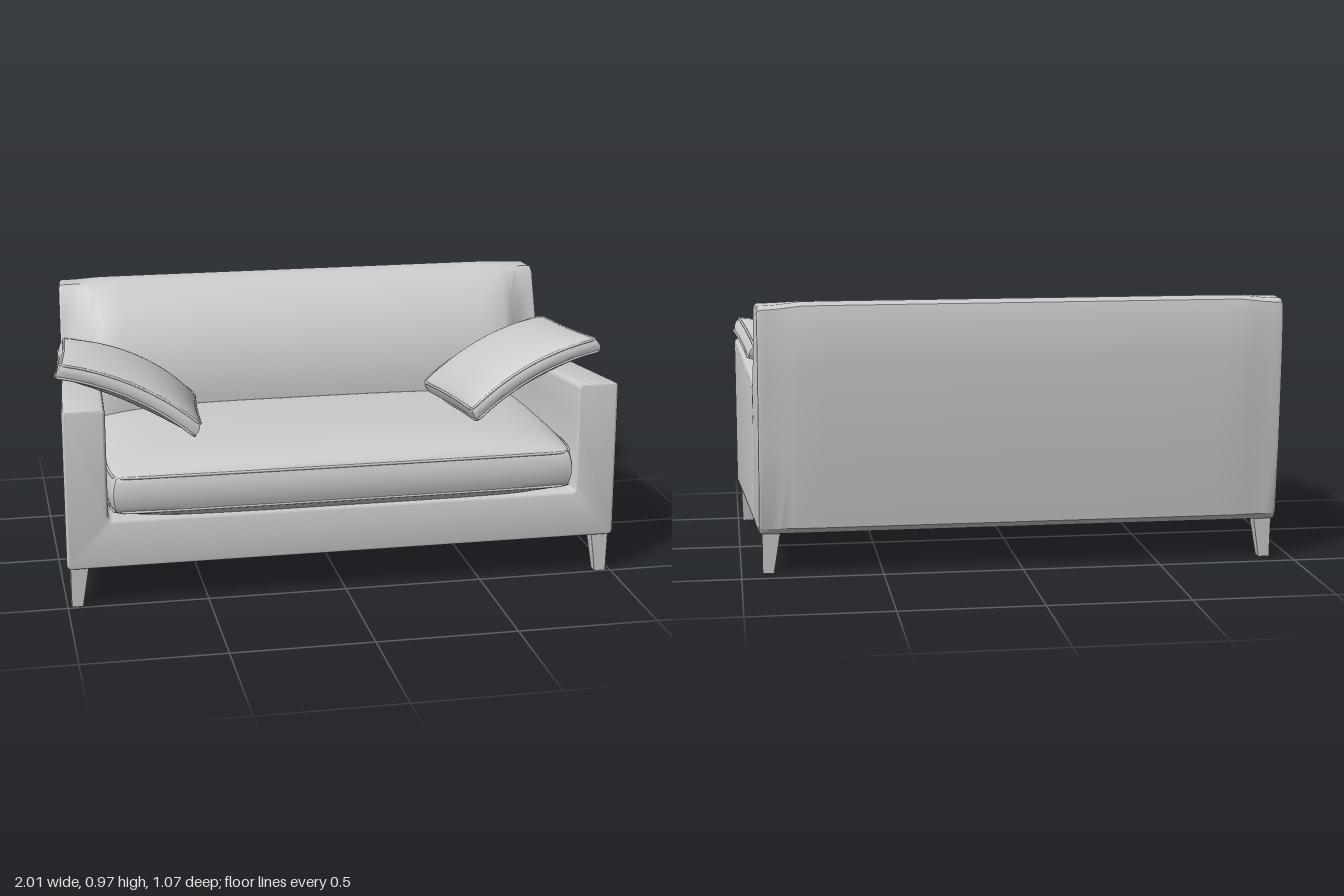
import * as THREE from 'three';
import { toCreasedNormals } from 'three/addons/utils/BufferGeometryUtils.js';

const material = new THREE.MeshStandardMaterial({ color: 0xcccccc });

function part(name, geometry, parent) {
  const mesh = new THREE.Mesh(geometry, material);
  mesh.name = name;
  parent.add(mesh);
  return mesh;
}

// Moves every vertex by a rule, then recomputes the normals.
function warp(geometry, rule, crease = 0.6) {
  const p = geometry.attributes.position;
  const v = new THREE.Vector3();
  for (let i = 0; i < p.count; i++) {
    v.fromBufferAttribute(p, i);
    rule(v);
    p.setXYZ(i, v.x, v.y, v.z);
  }
  return toCreasedNormals(geometry, crease);
}

// The sofa narrows toward the rear.
const taper = (z) => 1 - (0.51 - z) * 0.067;

// U-shaped frame: front rail, base and both arms.
function frameGeometry() {
  const r = 0.018;
  const s = new THREE.Shape();
  s.moveTo(-1 + r, 0.145);
  s.lineTo(1 - r, 0.145);
  s.quadraticCurveTo(1, 0.145, 1, 0.145 + r);
  s.lineTo(1, 0.59);
  s.lineTo(1, 0.725 - r);
  s.quadraticCurveTo(1, 0.725, 1 - r, 0.725);
  s.lineTo(0.85 + r, 0.725);
  s.quadraticCurveTo(0.85, 0.725, 0.85, 0.725 - r);
  s.lineTo(0.85, 0.59);
  s.lineTo(0.85, 0.32 + r);
  s.quadraticCurveTo(0.85, 0.32, 0.85 - r, 0.32);
  s.lineTo(-0.85 + r, 0.32);
  s.quadraticCurveTo(-0.85, 0.32, -0.85, 0.32 + r);
  s.lineTo(-0.85, 0.59);
  s.lineTo(-0.85, 0.725 - r);
  s.quadraticCurveTo(-0.85, 0.725, -0.85 - r, 0.725);
  s.lineTo(-1 + r, 0.725);
  s.quadraticCurveTo(-1, 0.725, -1, 0.725 - r);
  s.lineTo(-1, 0.59);
  s.lineTo(-1, 0.145 + r);
  s.quadraticCurveTo(-1, 0.145, -1 + r, 0.145);
  const b = 0.01;
  const g = new THREE.ExtrudeGeometry(s, {
    depth: 0.85 - 2 * b, bevelSize: b, bevelThickness: b, bevelOffset: -b, bevelSegments: 3, curveSegments: 4,
  });
  g.translate(0, 0, -0.34 + b);
  return warp(g, (v) => {
    if (v.z < -0.2 && v.y > 0.58) v.z += 0.06; // arms stop short of the backrest
    const k = THREE.MathUtils.clamp((v.y - 0.59) / 0.1, 0, 1);
    v.y -= k * 0.06 * (0.51 - v.z) / 0.79; // arm tops slope down to the rear
    v.x *= taper(v.z);
  });
}

// Backrest: side profiles [z, y] at the ends and in the padded middle, joined along x.
function backGeometry() {
  const end = [[-0.285, 0.145], [-0.285, 0.3], [-0.285, 0.59], [-0.307, 0.66], [-0.335, 0.75], [-0.365, 0.85],
    [-0.397, 0.95], [-0.41, 0.963], [-0.5, 0.963], [-0.52, 0.95], [-0.525, 0.9], [-0.522, 0.75],
    [-0.5, 0.45], [-0.465, 0.17], [-0.445, 0.147]];
  const mid = [[-0.285, 0.145], [-0.2, 0.3], [-0.2, 0.58], [-0.21, 0.66], [-0.24, 0.76], [-0.295, 0.86],
    [-0.365, 0.94], [-0.41, 0.968], [-0.48, 0.974], [-0.522, 0.963], [-0.535, 0.9], [-0.533, 0.75],
    [-0.512, 0.45], [-0.475, 0.17], [-0.445, 0.147]];
  // [x, padding amount, profile scale]
  const half = [[0.4, 1, 1], [0.75, 1, 1], [0.84, 0.92, 1], [0.88, 0.6, 1], [0.92, 0.25, 1],
    [0.96, 0.05, 1], [0.988, 0, 1], [0.996, 0, 0.992], [1, 0, 0.975]];
  const stations = [...half.map(([x, m, k]) => [-x, m, k]).reverse(), [0, 1, 1], ...half];
  const n = end.length;
  const pos = [];
  const idx = [];
  stations.forEach(([x, m, k], i) => {
    for (let j = 0; j < n; j++) {
      const z = -0.41 + (THREE.MathUtils.lerp(end[j][0], mid[j][0], m) + 0.41) * k;
      const y = 0.55 + (THREE.MathUtils.lerp(end[j][1], mid[j][1], m) - 0.55) * k;
      pos.push(x * taper(z), y, z);
      if (i < stations.length - 1) {
        const a = i * n + j, d = i * n + (j + 1) % n;
        idx.push(a, a + n, d + n, a, d + n, d);
      }
    }
  });
  // End caps
  const contour = end.map(([z, y]) => new THREE.Vector2(z, y));
  const last = (stations.length - 1) * n;
  for (const [a, b, c] of THREE.ShapeUtils.triangulateShape(contour, [])) {
    const ccw = THREE.ShapeUtils.area([contour[a], contour[b], contour[c]]) > 0;
    const [p, q] = ccw ? [b, c] : [c, b];
    idx.push(a, p, q, last + a, last + q, last + p);
  }
  const g = new THREE.BufferGeometry();
  g.setAttribute('position', new THREE.Float32BufferAttribute(pos, 3));
  g.setIndex(idx);
  return toCreasedNormals(g, 0.6);
}

// Padded cushion with an edge band, crowned faces and piping along both seams.
function cushion(name, parent, { w, d, band, crown, p, q, bulge, pinch, bend }) {
  const place = (v) => { // v runs from -1 to 1 on each axis
    const { x: u, y: t, z: s } = v;
    const f = Math.max(0, (1 - Math.abs(u) ** p) * (1 - Math.abs(s) ** p)) ** q;
    const face = Math.abs(t) > 0.999 ? Math.sign(t) * crown * f : 0;
    const out = bulge * (1 - t * t);
    const corner = 1 - 0.02 * (u * s) ** 8;
    v.x = u * corner * (w * (1 - pinch * (1 - s * s)) + out);
    v.z = s * corner * (d * (1 - pinch * (1 - u * u)) + out);
    v.y = t * band + face + bend * (1 - u * u);
    return v;
  };
  const group = new THREE.Group();
  group.name = name;
  parent.add(group);
  const ease = (a) => Math.sin(a * Math.PI / 2);
  part(name + 'Padding', warp(new THREE.BoxGeometry(2, 2, 2, 28, 6, 28), (v) => {
    v.x = ease(v.x);
    v.z = ease(v.z);
    place(v);
  }, 0.8), group);
  for (const side of [-1, 1]) {
    const pts = [];
    for (let i = 0; i < 4; i++) {
      for (let k = 0; k < 10; k++) {
        const a = -0.97 + k * 0.2156;
        const [x, z] = [[a, 1], [1, -a], [-a, -1], [-1, a]][i];
        pts.push(place(new THREE.Vector3(x, side, z)));
      }
    }
    const path = new THREE.CatmullRomCurve3(pts, true);
    part(name + 'Piping', new THREE.TubeGeometry(path, 120, 0.005, 6, true), group);
  }
  return group;
}

// Tapered leg with straight outer faces.
function legGeometry(inset) {
  const g = new THREE.BoxGeometry(0.063, 0.15, 0.064);
  g.translate(0, 0.075, 0);
  return warp(g, (v) => {
    if (v.y > 0.01) return;
    v.x = v.x > 0 ? v.x - inset : v.x + 0.022 - inset;
    if (v.z < 0) v.z += 0.024;
  }, 0.1);
}

export function createModel() {
  const sofa = new THREE.Group();
  sofa.name = 'sofa';

  part('frameWithArms', frameGeometry(), sofa);
  part('backrest', backGeometry(), sofa);

  // Underside dust cover
  const cover = warp(new THREE.BoxGeometry(1.76, 0.01, 0.84), (v) => { v.x *= taper(v.z); });
  part('dustCover', cover, sofa).position.set(0, 0.147, 0.02);

  const seat = cushion('seatCushion', sofa, {
    w: 0.835, d: 0.41, band: 0.063, crown: 0.07, p: 4, q: 0.6, bulge: 0.012, pinch: -0.006, bend: 0,
  });
  seat.position.set(0, 0.41, 0.108);

  // Throw pillows leaning on the arms
  for (const side of [1, -1]) {
    const pillow = cushion(side > 0 ? 'leftPillow' : 'rightPillow', sofa, {
      w: 0.272, d: 0.272, band: 0.024, crown: 0.043, p: 2.4, q: 0.65, bulge: 0.006, pinch: 0.03, bend: 0.036,
    });
    pillow.position.set(side * 0.728, 0.677, 0.052);
    pillow.rotation.set(-0.07, side * 0.085, side * 0.443);
  }

  // Legs: front pair and mirrored rear pair
  for (const side of [1, -1]) {
    for (const front of [true, false]) {
      const g = legGeometry(front ? 0.004 : 0.01);
      if (side < 0) g.rotateY(front ? -Math.PI / 2 : Math.PI / 2);
      if (!front) g.rotateY(side > 0 ? Math.PI / 2 : Math.PI);
      const leg = part(front ? 'frontLeg' : 'rearLeg', g, sofa);
      leg.position.set(side * (front ? 0.954 : 0.893), 0, front ? 0.463 : -0.408);
    }
  }
  return sofa;
}
